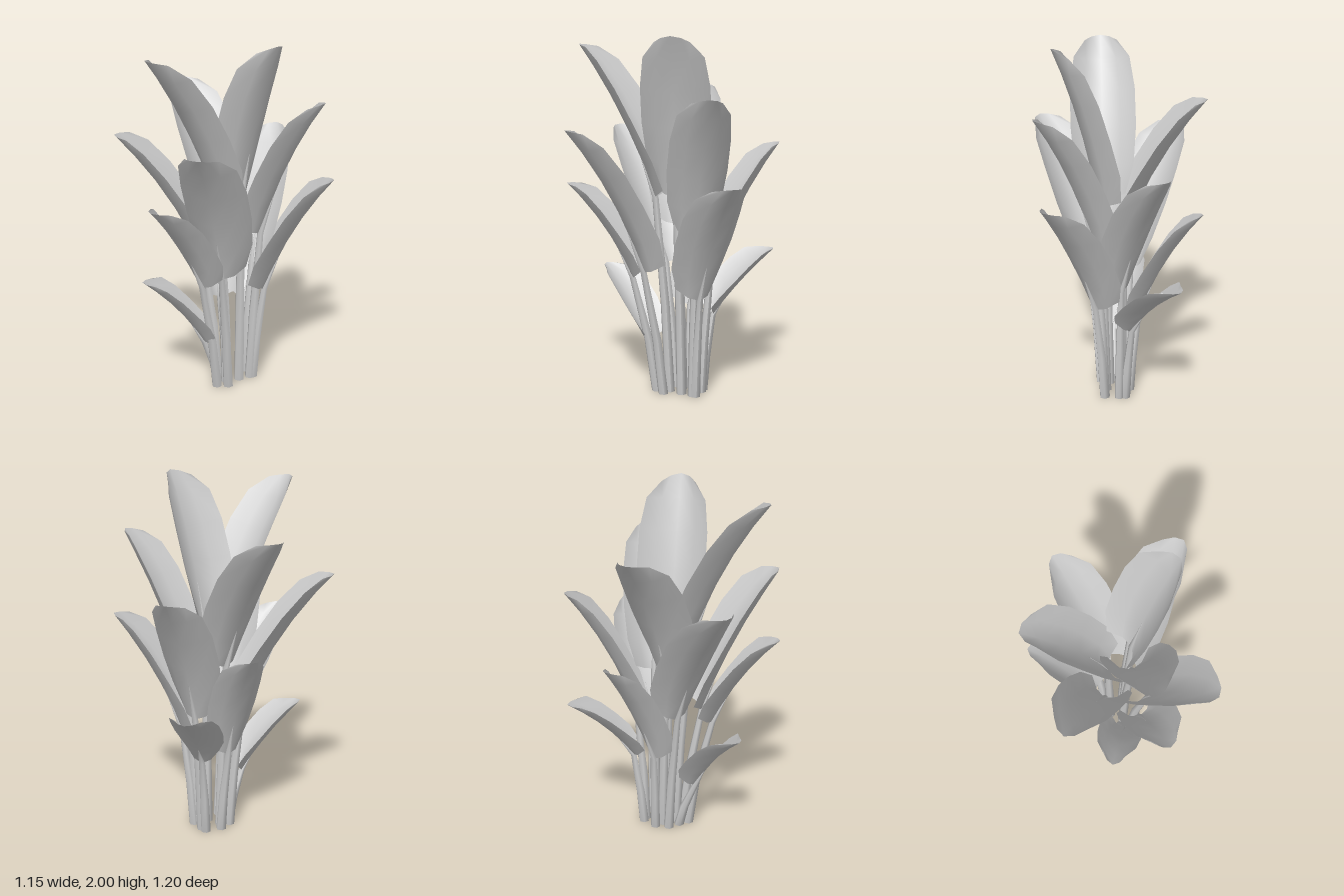
import * as THREE from 'three';

const V = (a) => new THREE.Vector3(...a);

// Each leaf: s = where the blade starts, t = blade tip, w = greatest width
const LEAVES = [
  { s: [0.0, 1.12, 0.09], t: [-0.24, 1.95, 0.46], w: 0.36 },
  { s: [0.1, 1.13, 0.0], t: [0.33, 2.0, 0.09], w: 0.38 },
  { s: [-0.04, 0.95, -0.05], t: [-0.4, 1.71, -0.3], w: 0.36 },
  { s: [-0.12, 0.72, 0.0], t: [-0.58, 1.47, 0.17], w: 0.35 },
  { s: [0.18, 0.91, -0.09], t: [0.54, 1.69, -0.06], w: 0.33 },
  { s: [0.05, 0.71, 0.17], t: [0.09, 1.51, 0.6], w: 0.36 },
  { s: [-0.05, 0.66, 0.21], t: [-0.19, 1.19, 0.55], w: 0.3 },
  { s: [0.2, 0.57, -0.11], t: [0.57, 1.24, -0.18], w: 0.34 },
  { s: [-0.08, 0.28, 0.11], t: [-0.37, 0.68, 0.3], w: 0.26 },
  { s: [0.09, 0.68, -0.2], t: [0.1, 1.42, -0.59], w: 0.32 },
  { s: [0.04, 0.44, -0.23], t: [0.0, 0.8, -0.6], w: 0.27 },
  { s: [-0.08, 0.47, -0.13], t: [-0.3, 1.11, -0.41], w: 0.27 },
];

// Blade outline: [position along the midrib, half-width ratio, slide of the edge, cupping]
const OUTLINE = [
  [0, 0.64, 0.03, 0.42], [0.18, 0.9, 0.01, 0.34], [0.4, 1, 0, 0.28],
  [0.62, 0.99, 0, 0.27], [0.83, 0.86, -0.015, 0.27], [1, 0.5, -0.058, 0.27],
];

// Joins equal rows of points into a smooth surface
function loft(rows) {
  const n = rows[0].length, index = [];
  for (let i = 0; i < rows.length - 1; i++) {
    for (let j = 0; j < n - 1; j++) {
      const a = i * n + j, b = a + 1, c = a + n, d = c + 1;
      index.push(a, b, d, a, d, c);
    }
  }
  const g = new THREE.BufferGeometry().setFromPoints(rows.flat());
  g.setIndex(index);
  g.computeVertexNormals();
  return g;
}

// Midrib that starts steep and arches outwards
function midribCurve(s, t) {
  const span = t.clone().sub(s);
  const control = s.clone().add(new THREE.Vector3(span.x * 0.36, span.y * 0.58, span.z * 0.36));
  return new THREE.QuadraticBezierCurve3(s, control, t);
}

// Arching blade, cupped towards the plant's middle
function bladeGeometry(midrib, w) {
  const span = midrib.v2.clone().sub(midrib.v0);
  const side = new THREE.Vector3(span.z, 0, -span.x).normalize();
  return loft(OUTLINE.map(([u, half, slide, cup]) => {
    const p = midrib.getPoint(u), along = midrib.getTangent(u);
    const up = along.clone().cross(side).normalize();
    if (up.y < 0) up.negate();
    return [-1, -0.55, 0, 0.55, 1].map((k) => p.clone()
      .addScaledVector(side, k * half * w / 2)
      .addScaledVector(up, k * k * half * w * cup)
      .addScaledVector(along, k * k * slide));
  }));
}

// Six-sided stalk, tapering to a spike that runs on along the midrib
function stalkGeometry(midrib) {
  const s = midrib.v0;
  const base = new THREE.Vector3(0.016 + 0.6 * s.x, 0, -0.04 + 0.58 * s.z);
  const mid = base.clone().lerp(s, 0.45);
  mid.x -= (s.x - base.x) * 0.12;
  mid.z -= (s.z - base.z) * 0.12;
  const rings = [[base, 0], [base, 0.029], [mid, 0.026], [s, 0.018], [midrib.getPoint(0.28), 0.001]];
  return loft(rings.map(([p, r]) => Array.from({ length: 7 }, (_, i) => {
    const a = -i / 6 * Math.PI * 2;
    return new THREE.Vector3(p.x + r * Math.cos(a), p.y, p.z + r * Math.sin(a));
  })));
}

export function createModel() {
  const plant = new THREE.Group();
  plant.name = 'leafyPlant';
  const material = new THREE.MeshStandardMaterial({ color: 0xcccccc, side: THREE.DoubleSide });

  LEAVES.forEach(({ s, t, w }, i) => {
    const midrib = midribCurve(V(s), V(t));
    const leaf = new THREE.Group();
    leaf.name = `leaf${i + 1}`;
    const blade = new THREE.Mesh(bladeGeometry(midrib, w), material);
    blade.name = 'blade';
    const stalk = new THREE.Mesh(stalkGeometry(midrib), material);
    stalk.name = 'stalk';
    leaf.add(blade, stalk);
    plant.add(leaf);
  });
  return plant;
}
